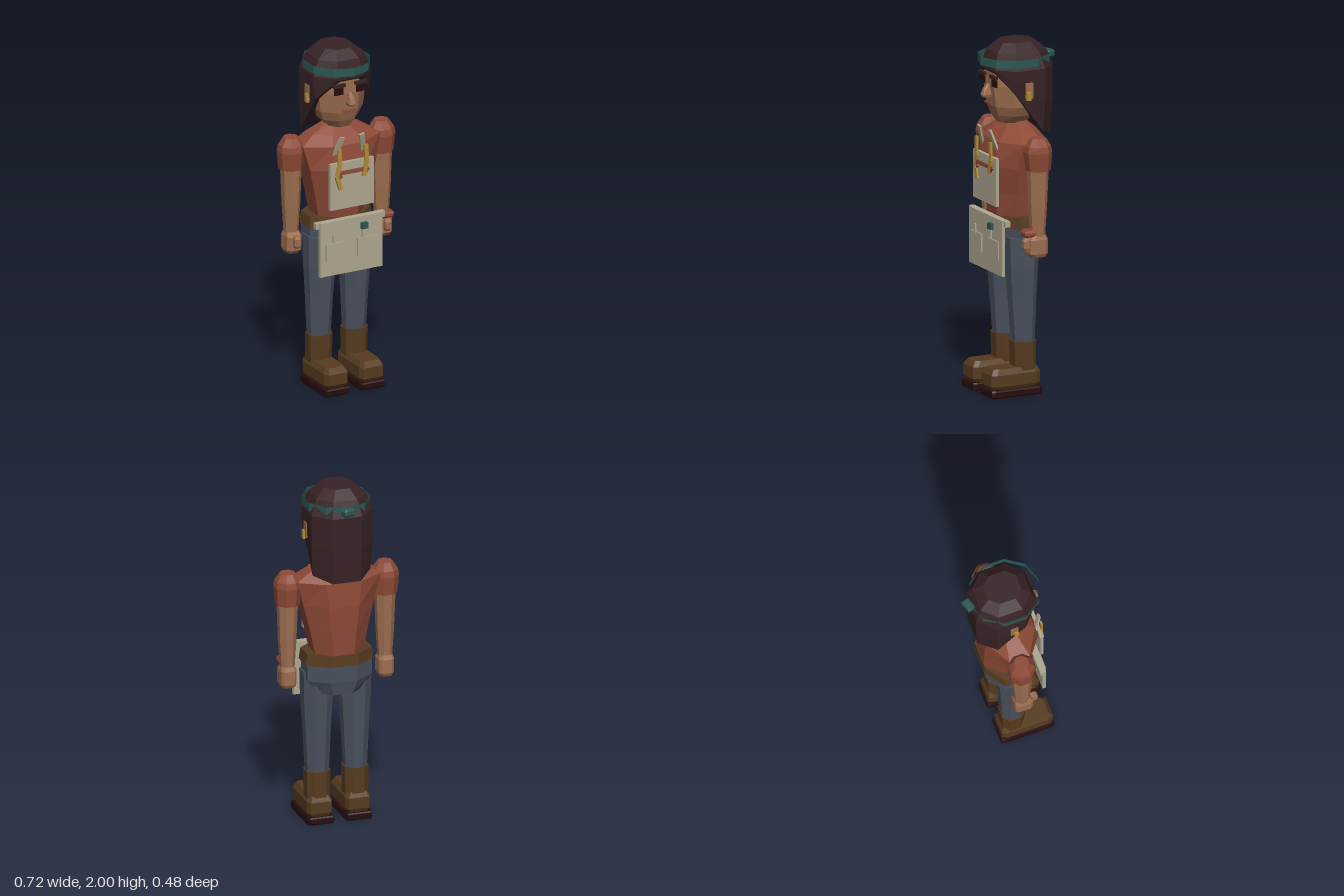
import * as THREE from 'three';

const mat = (name, color) => {
  const m = new THREE.MeshStandardMaterial({ color });
  m.name = name;
  return m;
};

export function createModel() {
  const root = new THREE.Group();
  root.name = 'craftWorker';
  const skin = mat('skin', 0x9c6e50), hair = mat('hair', 0x382325), shirt = mat('shirt', 0x8e4a37);
  const denim = mat('denim', 0x4a515e), leather = mat('leather', 0x573b20), dark = mat('darkSole', 0x260c0e);
  const canvas = mat('canvas', 0xaea790), teal = mat('teal', 0x2b5853), gold = mat('gold', 0xb28c36);
  teal.side = THREE.DoubleSide;

  const add = (name, geo, material, x = 0, y = 0, z = 0) => {
    const m = new THREE.Mesh(geo, material);
    m.name = name;
    m.position.set(x, y, z);
    root.add(m);
    return m;
  };

  // Eight-sided outline: a rectangle with its corners cut by the fraction c
  const outline = (hx, zb, zf, c, xc) => {
    const hz = (zf - zb) / 2, zc = (zf + zb) / 2, k = 1 - c;
    return [[1, -k], [1, k], [k, 1], [-k, 1], [-1, k], [-1, -k], [-k, -1], [k, -1]]
      .map(([u, v]) => [xc + u * hx, zc + v * hz]);
  };

  // Faceted loft through rings [y, halfWidth, zBack, zFront], listed from the bottom up
  const loft = (rings, c = 0.58, xc = 0, height = (y) => y) => {
    const pos = [];
    const loops = rings.map(([y, hx, zb, zf], k) =>
      outline(hx, zb, zf, c, xc).map(([x, z]) => [x, height(y, z, k), z]));
    const tri = (...pts) => pts.forEach((p) => pos.push(...p));
    const mid = (l) => [0, 1, 2].map((j) => l.reduce((s, p) => s + p[j], 0) / l.length);
    const last = loops.length - 1, m0 = mid(loops[0]), m1 = mid(loops[last]);
    for (let i = 0; i < 8; i++) {
      const j = (i + 1) % 8;
      for (let k = 0; k < last; k++) {
        const a = loops[k][i], b = loops[k][j], d = loops[k + 1][i], e = loops[k + 1][j];
        tri(a, d, b);
        tri(b, d, e);
      }
      tri(m0, loops[0][i], loops[0][j]);
      tri(m1, loops[last][j], loops[last][i]);
    }
    const g = new THREE.BufferGeometry();
    g.setAttribute('position', new THREE.Float32BufferAttribute(pos, 3));
    g.computeVertexNormals();
    return g;
  };

  const box = (name, material, w, h, d, x, y, z) => add(name, new THREE.BoxGeometry(w, h, d), material, x, y, z);

  // Flat bar running between two points
  const bar = (name, material, w, d, from, to) => {
    const a = new THREE.Vector3(...from), b = new THREE.Vector3(...to), dir = b.clone().sub(a);
    const m = add(name, new THREE.BoxGeometry(w, dir.length(), d), material);
    m.position.copy(a).add(b).multiplyScalar(0.5);
    m.quaternion.setFromUnitVectors(new THREE.Vector3(0, 1, 0), dir.normalize());
  };

  // Trunk
  add('torso', loft([[1.0, 0.14, -0.135, 0.135], [1.15, 0.17, -0.14, 0.155], [1.31, 0.21, -0.145, 0.18],
    [1.45, 0.245, -0.135, 0.15], [1.5, 0.17, -0.1, 0.1], [1.55, 0.07, -0.05, 0.045]]), shirt);
  add('belt', loft([[0.955, 0.2, -0.145, 0.145], [1.02, 0.19, -0.14, 0.14]]), leather);
  add('hips', loft([[0.78, 0.13, -0.12, 0.09], [0.86, 0.19, -0.135, 0.115], [0.965, 0.19, -0.138, 0.13]]), denim);
  add('neck', loft([[1.48, 0.065, -0.05, 0.065], [1.6, 0.06, -0.05, 0.06]]), skin);

  for (const s of [-1, 1]) {
    const side = s > 0 ? 'left' : 'right';
    // Legs and boots
    const lx = s * 0.112;
    add(side + 'Leg', loft([[0.28, 0.062, -0.055, 0.065], [0.55, 0.074, -0.065, 0.085],
      [0.72, 0.084, -0.072, 0.098], [0.9, 0.088, -0.08, 0.105]], 0.58, lx), denim);
    add(side + 'BootShaft', loft([[0.05, 0.065, -0.06, 0.065], [0.305, 0.07, -0.06, 0.075]], 0.5, lx), leather);
    add(side + 'BootFoot', loft([[0.04, 0.06, -0.06, 0.215], [0.065, 0.074, -0.072, 0.232],
      [0.13, 0.074, -0.072, 0.232], [0.162, 0.055, -0.055, 0.21]], 0.2, lx), leather);
    add(side + 'Sole', loft([[0, 0.075, -0.075, 0.23], [0.008, 0.079, -0.08, 0.236],
      [0.036, 0.079, -0.08, 0.236], [0.044, 0.075, -0.075, 0.23]], 0.12, lx), dark);

    // Arms and hands
    const ax = s * 0.287;
    add(side + 'Sleeve', loft([[1.315, 0.065, -0.065, 0.065], [1.42, 0.073, -0.073, 0.078],
      [1.455, 0.067, -0.066, 0.07], [1.5, 0.04, -0.04, 0.042]], 0.58, ax), shirt);
    add(side + 'Arm', loft([[0.93, 0.038, -0.035, 0.042], [1.1, 0.048, -0.045, 0.053],
      [1.33, 0.056, -0.055, 0.06]], 0.58, ax), skin);
    add(side + 'Hand', loft([[0.82, 0.036, -0.036, 0.048], [0.84, 0.045, -0.046, 0.062],
      [0.92, 0.045, -0.046, 0.062], [0.945, 0.036, -0.036, 0.045]], 0.35, ax), skin);
    add(side + 'Thumb', loft([[0.86, 0.014, 0.05, 0.088], [0.875, 0.019, 0.05, 0.095],
      [0.915, 0.019, 0.05, 0.095], [0.93, 0.013, 0.05, 0.085]], 0.35, ax), skin);

    // Face pieces, ears and earrings
    box(side + 'Eye', dark, 0.058, 0.04, 0.008, s * 0.07, 1.78, 0.162);
    box(side + 'Brow', hair, 0.075, 0.018, 0.018, s * 0.068, 1.815, 0.165);
    box(side + 'Ear', skin, 0.035, 0.09, 0.045, s * 0.168, 1.745, 0);
    box(side + 'Earring', gold, 0.018, 0.05, 0.025, s * 0.187, 1.715, 0.008);

    // Apron shoulder straps and pockets
    bar(side + 'Strap', canvas, 0.03, 0.012, [s * 0.09, 1.4, 0.152], [s * 0.062, 1.515, 0.188]);
    box(side + 'Pocket', canvas, 0.127, 0.105, 0.009, s * 0.1, 0.842, 0.184);
  }

  // Head
  add('head', loft([[1.54, 0.07, -0.07, 0.1], [1.585, 0.11, -0.1, 0.125], [1.64, 0.135, -0.12, 0.145],
    [1.76, 0.147, -0.13, 0.16], [1.88, 0.14, -0.13, 0.155]]), skin);
  add('nose', loft([[1.69, 0.017, 0.14, 0.198], [1.705, 0.022, 0.14, 0.205], [1.735, 0.016, 0.14, 0.195],
    [1.765, 0.009, 0.14, 0.17]], 0.3), skin);
  box('mouth', shirt, 0.075, 0.013, 0.008, 0, 1.655, 0.162);

  // Hair: crown above, long at the back, with a slanted cut below
  const cut = (z) => Math.max(1.47, 1.845 - 1.34 * (0.165 - z));
  add('hair', loft([[0, 0.17, -0.183, 0.165], [0, 0.18, -0.195, 0.165], [1.86, 0.18, -0.195, 0.165],
    [1.95, 0.145, -0.16, 0.14], [2.0, 0.088, -0.105, 0.09]], 0.52, 0, (y, z, k) =>
    k === 0 ? cut(z) : k === 1 ? (cut(z) + 1.86) / 2 : y), hair);

  // Headband and its knot
  const band = new THREE.CylinderGeometry(0.19, 0.19, 0.048, 10, 1, true).scale(1, 1, 1.08).toNonIndexed();
  band.computeVertexNormals();
  add('headband', band, teal, 0, 1.9, 0.006);
  const knot = add('headbandKnot', loft([[-0.022, 0.028, -0.018, 0.018], [-0.012, 0.036, -0.024, 0.024],
    [0.012, 0.036, -0.024, 0.024], [0.022, 0.028, -0.018, 0.018]], 0.2), teal, 0, 1.9, -0.208);
  knot.rotation.y = 0.3;

  // Apron
  box('apronBib', canvas, 0.277, 0.275, 0.02, 0, 1.227, 0.178);
  box('apronSkirt', canvas, 0.395, 0.32, 0.02, 0, 0.86, 0.17);
  box('apronWaistband', canvas, 0.44, 0.034, 0.03, 0, 1.003, 0.155);

  // Measuring tape hung over the bib, with a red cross bar
  const hang = (name, pts) => pts.slice(1).forEach((p, i) =>
    bar(name, gold, 0.024, 0.012, [...pts[i], 0.194], [...p, 0.194]));
  hang('rightTape', [[-0.085, 1.45], [-0.08, 1.35], [-0.1, 1.29], [-0.075, 1.21]]);
  hang('leftTape', [[0.085, 1.45], [0.09, 1.35], [0.07, 1.265]]);
  box('crossBar', shirt, 0.2, 0.022, 0.012, 0, 1.305, 0.192);
  for (const s of [-1, 1]) bar('crossBarEnd', shirt, 0.022, 0.011, [s * 0.1, 1.31, 0.192], [s * 0.07, 1.275, 0.192]);

  // Pocket tools and wrist pad
  box('pocketStick', canvas, 0.014, 0.06, 0.01, -0.112, 0.91, 0.186);
  box('toolHandle', canvas, 0.014, 0.07, 0.01, 0.072, 0.92, 0.186);
  box('toolHead', teal, 0.038, 0.036, 0.022, 0.077, 0.967, 0.19);
  add('wristPad', loft([[0.94, 0.032, 0.035, 0.09], [0.95, 0.038, 0.03, 0.096],
    [0.965, 0.038, 0.03, 0.096], [0.977, 0.03, 0.035, 0.088]], 0.25, 0.285), shirt);

  return root;
}
